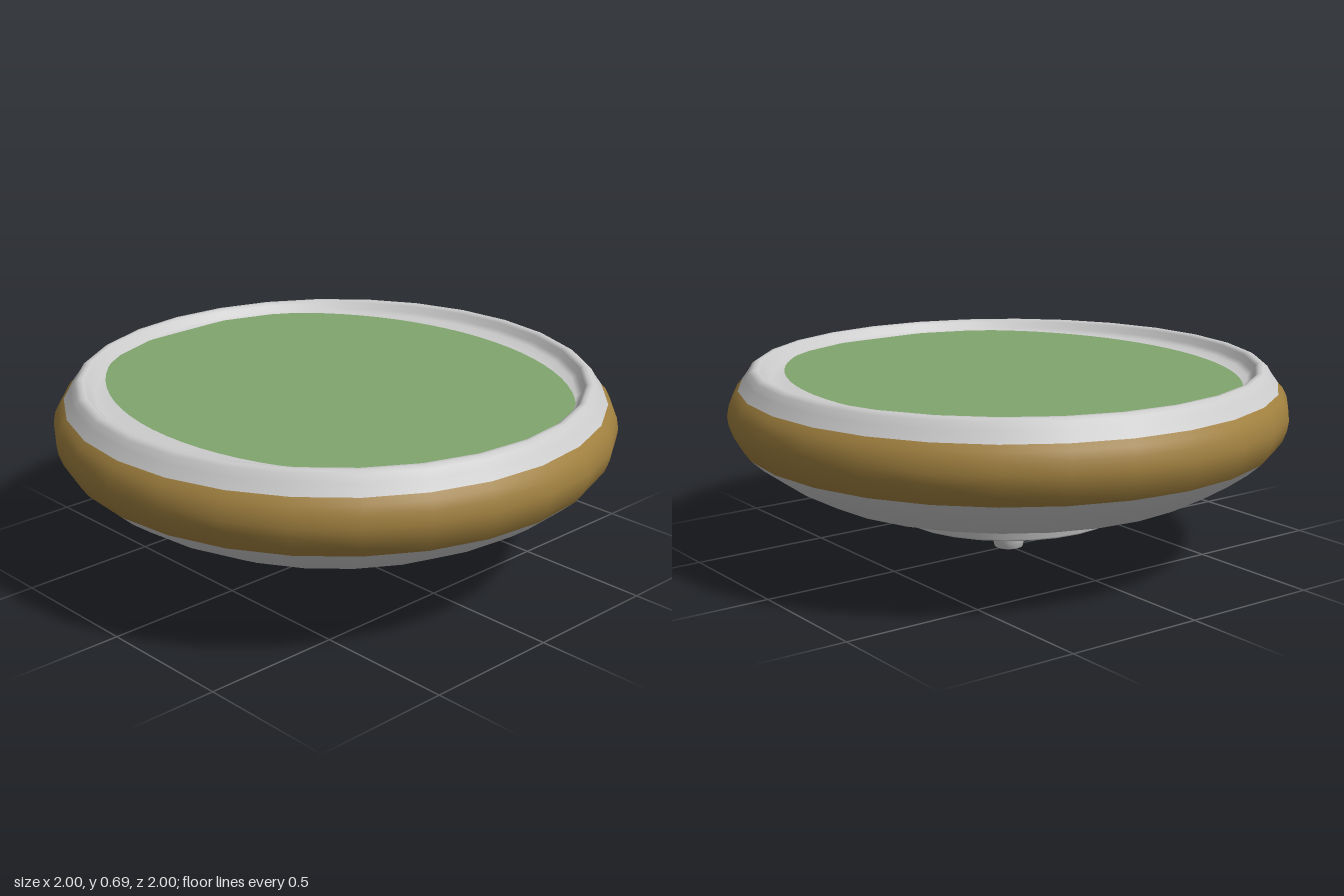
import * as THREE from 'three';

const SEGMENTS = 28;

function lathe(name, profile, color) {
  const points = profile.map(([r, y]) => new THREE.Vector2(r, y));
  const mesh = new THREE.Mesh(
    new THREE.LatheGeometry(points, SEGMENTS),
    new THREE.MeshStandardMaterial({ color, side: THREE.DoubleSide })
  );
  mesh.name = name;
  return mesh;
}

export function createModel() {
  const group = new THREE.Group();
  group.name = 'roundDish';

  // Sloping underside of the dish
  group.add(lathe('underside', [
    [0, 0.255], [0.4, 0.255], [0.69, 0.257], [0.72, 0.265], [0.84, 0.33], [0.91, 0.38], [0.955, 0.42],
  ], 0xcccccc));

  // Bulging coloured band
  group.add(lathe('band', [
    [0.955, 0.42], [0.98, 0.455], [0.995, 0.495], [1, 0.53], [0.993, 0.57], [0.978, 0.6], [0.96, 0.62],
  ], 0xa0803f));

  // Rim, inner wall and recessed floor
  group.add(lathe('rim', [
    [0.96, 0.62], [0.935, 0.655], [0.92, 0.68], [0.905, 0.69], [0.89, 0.69], [0.878, 0.682],
    [0.868, 0.66], [0.85, 0.646], [0.8, 0.642], [0.5, 0.64], [0, 0.64],
  ], 0xcccccc));

  // Stepped foot with a small hollow nozzle
  group.add(lathe('foot', [
    [0, 0.03], [0.03, 0.025], [0.035, 0.005], [0.042, 0], [0.052, 0.004], [0.058, 0.03], [0.066, 0.06],
    [0.085, 0.074], [0.125, 0.085], [0.15, 0.105], [0.22, 0.115], [0.34, 0.137], [0.405, 0.143],
    [0.416, 0.152], [0.42, 0.2], [0.435, 0.22], [0.453, 0.236], [0.45, 0.244], [0.42, 0.25], [0.38, 0.256],
  ], 0xcccccc));

  // Oval inlay with clipped front and back ends
  const outline = [];
  for (let i = 0; i < 72; i++) {
    const a = (i / 72) * Math.PI * 2;
    const p = new THREE.Vector2(0.76 * Math.cos(a), 0.9 * Math.sin(a));
    p.y = THREE.MathUtils.clamp(p.y, -0.84, 0.84);
    outline.push(p.clampLength(0, 0.86));
  }
  const inlay = new THREE.Mesh(
    new THREE.ShapeGeometry(new THREE.Shape(outline)),
    new THREE.MeshStandardMaterial({ color: 0x80a56e, side: THREE.DoubleSide })
  );
  inlay.name = 'inlay';
  inlay.rotation.x = -Math.PI / 2;
  inlay.position.y = 0.652;
  group.add(inlay);

  return group;
}
